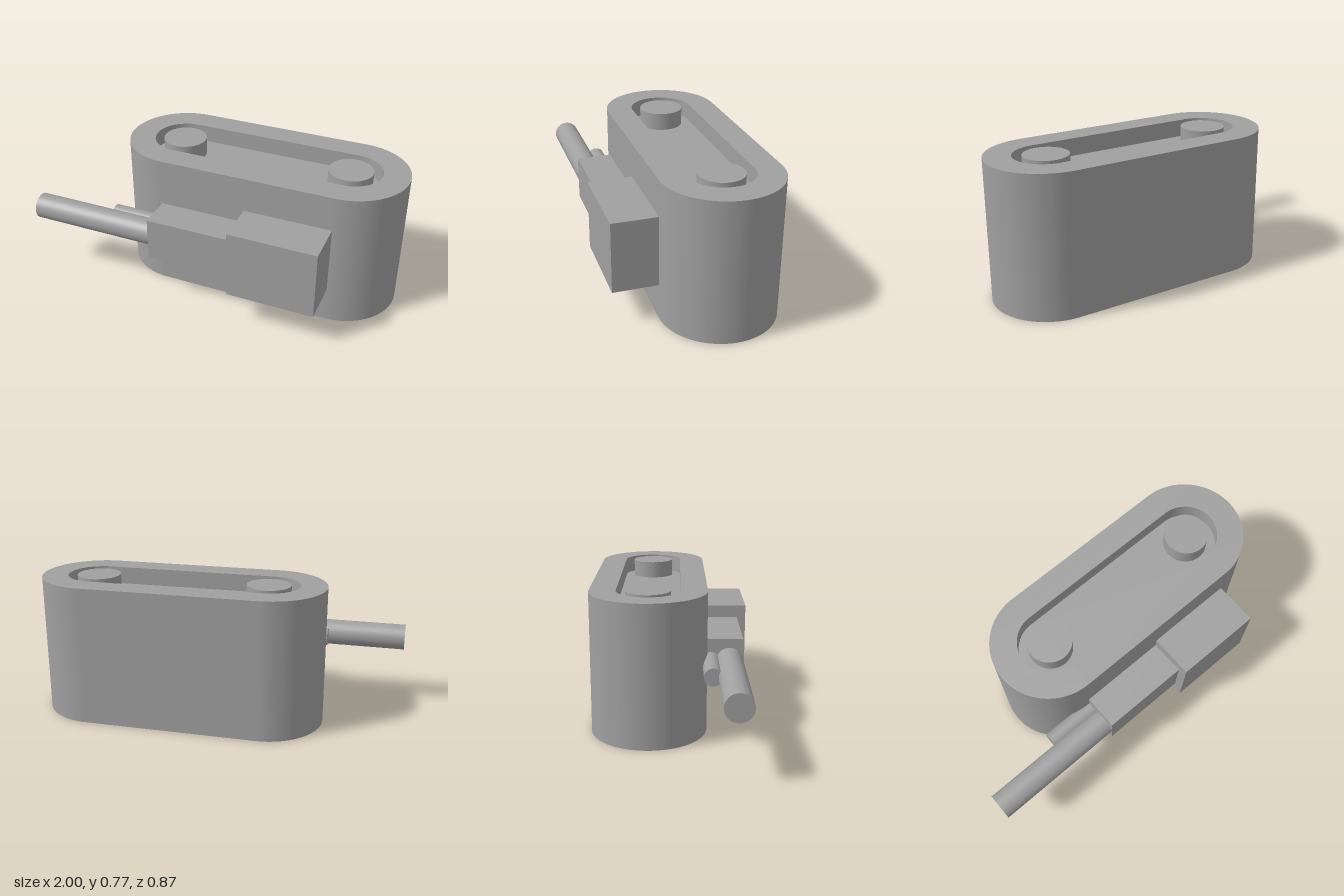
import * as THREE from 'three';

const material = new THREE.MeshStandardMaterial({ color: 0xa0a0a0 });
const HEIGHT = 0.77, RECESS = 0.096;
const CX = 0.205, CZ = -0.12, HALF = 0.482; // centre and half length of the straight run

// Closed rounded-end outline lying along x
function stadium(PathType, r) {
  const p = new PathType();
  p.moveTo(-HALF, -r);
  p.lineTo(HALF, -r);
  p.absarc(HALF, 0, r, -Math.PI / 2, Math.PI / 2, false);
  p.lineTo(-HALF, r);
  p.absarc(-HALF, 0, r, Math.PI / 2, Math.PI * 1.5, false);
  return p;
}

export function createModel() {
  const model = new THREE.Group();

  function add(name, geometry, x, y, z) {
    const mesh = new THREE.Mesh(geometry, material);
    mesh.name = name;
    mesh.position.set(x, y, z);
    model.add(mesh);
  }

  // Upright extrusion standing at height y
  function addUpright(name, shape, y, height) {
    const g = new THREE.ExtrudeGeometry(shape, { depth: height, bevelEnabled: false, curveSegments: 32 });
    g.rotateX(-Math.PI / 2);
    add(name, g, CX, y, CZ);
  }

  function addBox(name, x0, x1, y0, y1, z0, z1) {
    add(name, new THREE.BoxGeometry(x1 - x0, y1 - y0, z1 - z0), (x0 + x1) / 2, (y0 + y1) / 2, (z0 + z1) / 2);
  }

  // Rod along x
  function addRod(name, r, x0, x1, y, z) {
    const g = new THREE.CylinderGeometry(r, r, x1 - x0, 32);
    g.rotateZ(Math.PI / 2);
    add(name, g, (x0 + x1) / 2, y, z);
  }

  // Outer band with its slot, and the core recessed from both ends
  const band = stadium(THREE.Shape, 0.313);
  band.holes.push(stadium(THREE.Path, 0.17));
  addUpright('outerBand', band, 0, HEIGHT);
  addUpright('core', stadium(THREE.Shape, 0.17), RECESS, HEIGHT - 2 * RECESS);

  // Round posts through the core, flush with the band
  for (const side of [-1, 1]) {
    add(side < 0 ? 'rightPost' : 'leftPost', new THREE.CylinderGeometry(0.12, 0.12, HEIGHT, 40),
      CX + side * HALF, HEIGHT / 2, CZ);
  }

  // Housings on the front face
  addBox('motorHousing', 0.205, 0.688, 0.195, 0.578, 0.19, 0.434);
  addBox('smallHousing', -0.278, 0.206, 0.266, 0.507, 0.19, 0.384);

  // Long barrel and short rod beside it
  addRod('barrel', 0.072, -1, -0.278, 0.387, 0.312);
  addRod('shortRod', 0.048, -0.567, -0.278, 0.387, 0.214);

  return model;
}
